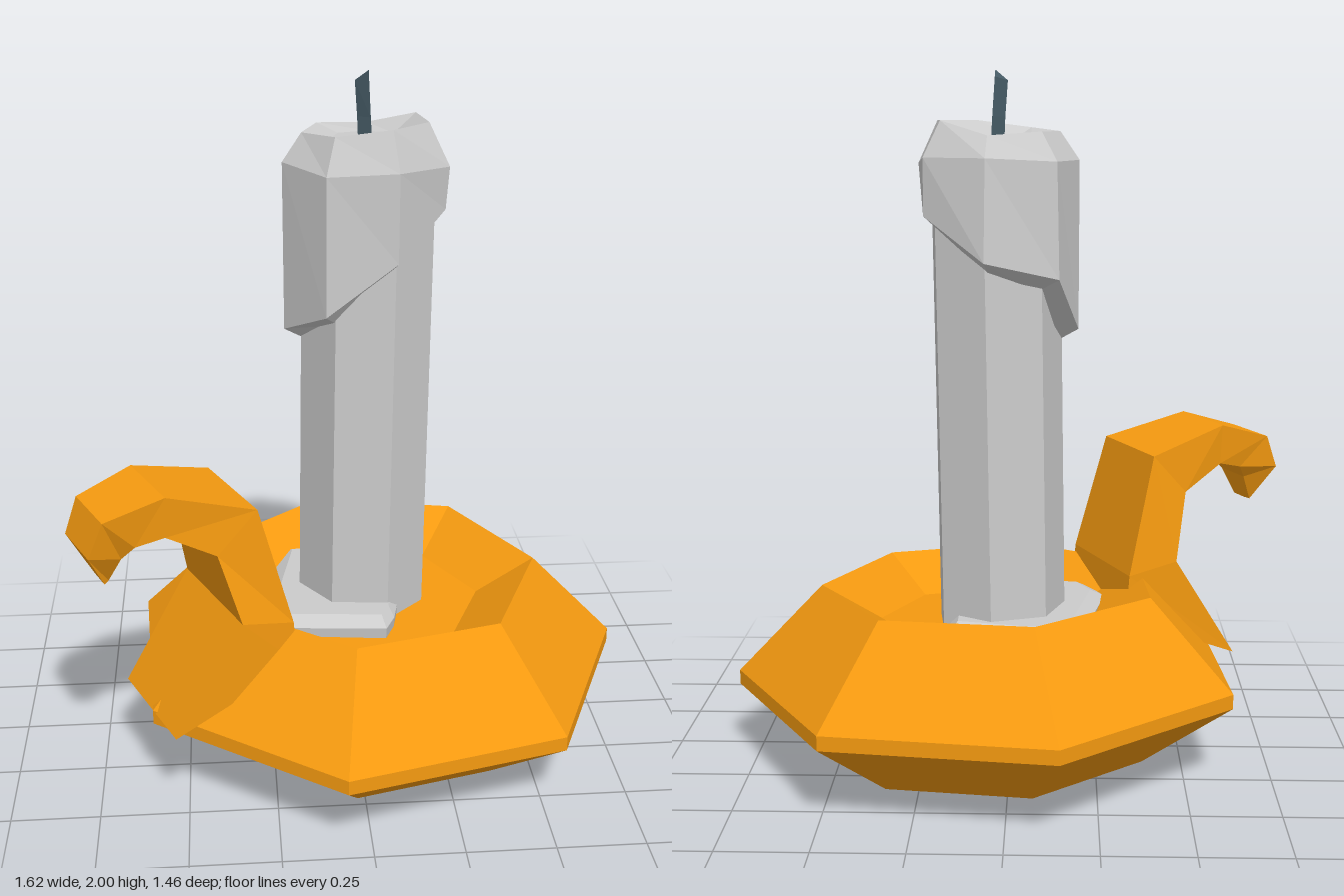
import * as THREE from 'three';

const wax = new THREE.MeshStandardMaterial({ color: 0xcccccc, flatShading: true });
const glaze = new THREE.MeshStandardMaterial({ color: 0xf59a10, flatShading: true });
const charred = new THREE.MeshStandardMaterial({ color: 0x455a64, flatShading: true });

// Skins a stack of rings (each a list of [x, y, z]) and closes both ends with fans.
function loft(name, rings, material) {
  const pos = [];
  const tri = (...pts) => pts.forEach((p) => pos.push(...p));
  const middle = (ring) => [0, 1, 2].map((k) => ring.reduce((s, p) => s + p[k], 0) / ring.length);
  const n = rings[0].length;
  const first = rings[0], last = rings[rings.length - 1];
  const c0 = middle(first), c1 = middle(last);
  for (let i = 0; i < n; i++) {
    const j = (i + 1) % n;
    for (let r = 0; r < rings.length - 1; r++) {
      const a = rings[r][i], b = rings[r][j], c = rings[r + 1][j], d = rings[r + 1][i];
      tri(a, d, c);
      tri(a, c, b);
    }
    tri(c0, first[i], first[j]);
    tri(c1, last[j], last[i]);
  }
  const geometry = new THREE.BufferGeometry();
  geometry.setAttribute('position', new THREE.Float32BufferAttribute(pos, 3));
  geometry.computeVertexNormals();
  const mesh = new THREE.Mesh(geometry, material);
  mesh.name = name;
  return mesh;
}

// Regular ring; radius and height may be a number or a list with one value per corner.
function ring(n, cx, cz, radius, y, startDeg) {
  return Array.from({ length: n }, (_, i) => {
    const a = THREE.MathUtils.degToRad(startDeg) + (i / n) * Math.PI * 2;
    const r = Array.isArray(radius) ? radius[i] : radius;
    return [cx + r * Math.cos(a), Array.isArray(y) ? y[i] : y, cz + r * Math.sin(a)];
  });
}

// Seven-sided dish, slightly tilted
function makeDish() {
  const profile = [[0.48, 0.02], [0.75, 0.215], [0.75, 0.257], [0.5, 0.515], [0.325, 0.41]];
  const rings = profile.map(([r, y]) =>
    ring(7, 0.06, 0, r, y, -3).map(([x, h, z]) => [x, h - 0.027 * z - 0.015 * x, z]));
  return loft('dish', rings, glaze);
}

// Curled handle: box sections set by inner and outer edges [u, y, half width]
function makeHandle() {
  const sections = [
    [[-0.1, 0.4, 0.2], [0.27, 0.25, 0.19]],
    [[-0.09, 0.53, 0.2], [0.065, 0.56, 0.2]],
    [[0, 0.88, 0.17], [0.115, 0.76, 0.155]],
    [[0.25, 0.95, 0.13], [0.25, 0.83, 0.12]],
    [[0.42, 0.9, 0.105], [0.33, 0.81, 0.1]],
    [[0.46, 0.8, 0.095], [0.36, 0.77, 0.07]],
    [[0.4, 0.69, 0.04], [0.385, 0.695, 0.03]],
  ];
  const corner = ([u, y, h], side) =>
    [-0.355 - 0.92 * u + 0.39 * h * side, y, 0.23 + 0.39 * u + 0.92 * h * side];
  const rings = sections.map(([inner, outer]) =>
    [corner(inner, 1), corner(outer, 1), corner(outer, -1), corner(inner, -1)]);
  return loft('handle', rings, glaze);
}

// Pool of set wax around the foot of the candle
function makePuddle() {
  const outline = [[0.17, -0.1], [0.11, 0.19], [0.08, 0.26], [-0.23, 0.23],
    [-0.28, 0.13], [-0.2, -0.29], [-0.07, -0.305], [0.17, -0.25]];
  const level = (scale, y) =>
    outline.map(([x, z]) => [0.01 + (x - 0.01) * scale, y, -0.02 + (z + 0.02) * scale]);
  return loft('waxPuddle', [level(0.98, 0.39), level(1, 0.435), level(0.85, 0.46)], wax);
}

// Overhanging melted cap with an uneven drip line and hollow top
function makeCap() {
  const drip = [1.62, 1.5, 1.35, 1.27, 1.43, 1.48, 1.6];
  const dripRadius = [0.23, 0.22, 0.235, 0.235, 0.25, 0.25, 0.235];
  const rimHeight = [1.86, 1.86, 1.84, 1.83, 1.83, 1.82, 1.86];
  const at = (r, y) => ring(7, 0.04, -0.03, r, y, 19);
  return loft('waxCap', [
    at(0.16, drip.map((y) => y - 0.04)),
    at(dripRadius, drip),
    at([0.24, 0.225, 0.23, 0.235, 0.24, 0.225, 0.235], [1.74, 1.75, 1.74, 1.75, 1.75, 1.76, 1.76]),
    at(0.18, rimHeight),
    at(0.1, 1.81),
  ], wax);
}

export function createModel() {
  const group = new THREE.Group();
  group.name = 'candleInHolder';
  group.add(makeDish(), makeHandle(), makePuddle(), makeCap());

  // Slightly leaning candle shaft
  group.add(loft('candleShaft', [
    ring(7, 0.03, -0.035, 0.19, 0.39, 19),
    ring(7, 0.05, -0.025, 0.19, 1.7, 19),
  ], wax));

  // Bent wick with a slanted tip
  group.add(loft('wick', [
    ring(3, 0.045, -0.018, 0.025, 1.77, 60),
    ring(3, 0.04, -0.018, 0.024, 1.87, 60),
    ring(3, 0.033, -0.01, 0.024, [2, 1.97, 1.98], 60),
  ], charred));
  return group;
}
